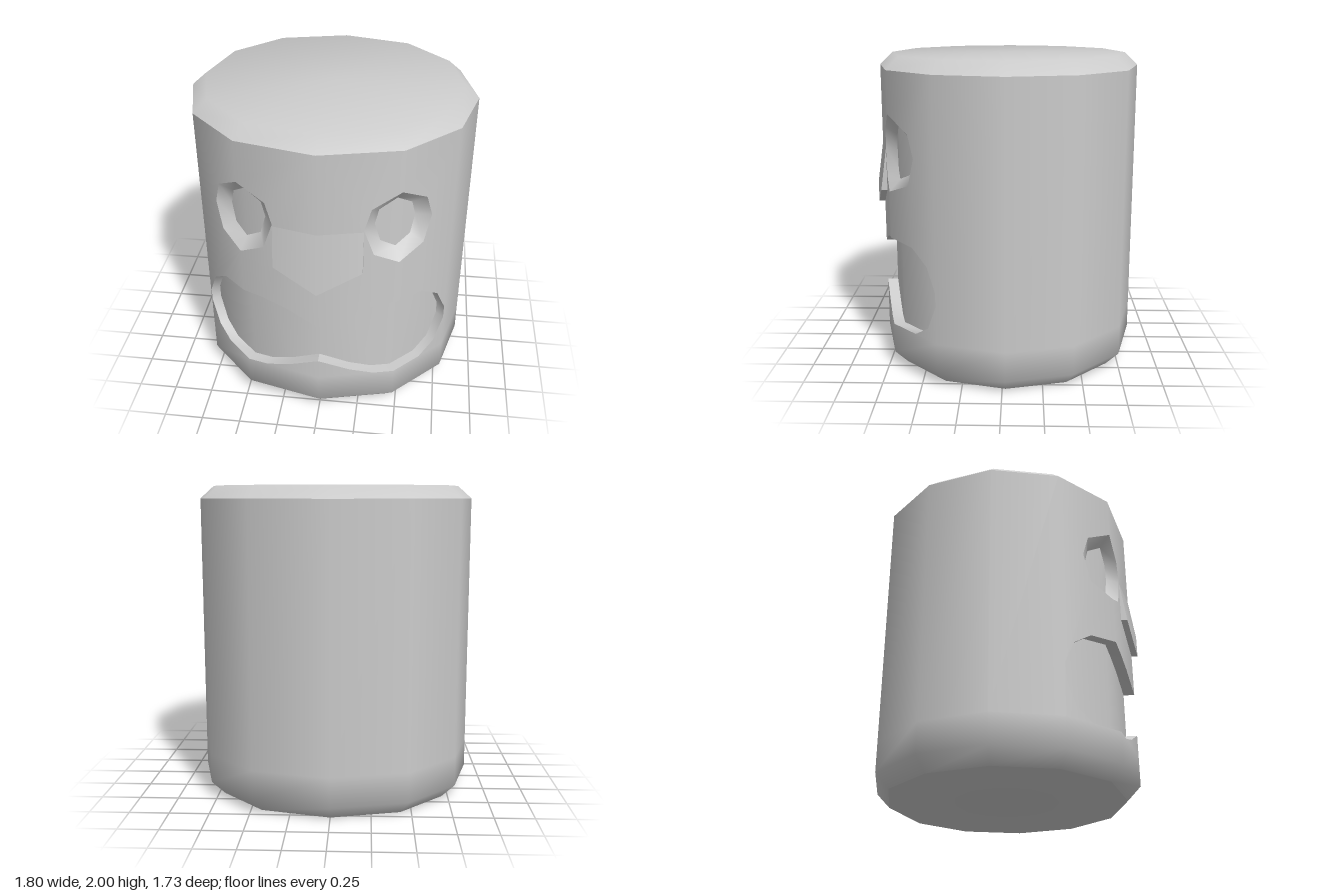
import * as THREE from 'three';
import { toCreasedNormals } from 'three/addons/utils/BufferGeometryUtils.js';

const CZ = -0.02; // centre of the twelve-sided body
const OUTER = [[0, 0.845], [0.48, 0.73], [0.79, 0.42], [0.9, 0]];
const INNER = [[0, 0.775], [0.45, 0.665], [0.745, 0.375], [0.84, 0]];

// depth of the faceted front at a given x
function depth(profile, x) {
  const a = Math.min(Math.abs(x), profile[3][0]);
  let i = 0;
  while (i < 2 && a > profile[i + 1][0]) i++;
  const [x0, z0] = profile[i], [x1, z1] = profile[i + 1];
  return CZ + z0 + (z1 - z0) * (a - x0) / (x1 - x0);
}

function radial(x, z, ny = 0) {
  return new THREE.Vector3(x / 0.81, 0, (z - CZ) / 0.714).normalize().setY(ny).normalize();
}

// full plan outline, running from the front towards +x
const back = OUTER.slice(0, 3).reverse().map(([x, z]) => [x, -z]);
const half = [...OUTER, ...back];
const PLAN = [...half, ...half.slice(1, -1).reverse().map(([x, z]) => [-x, z])];

const material = new THREE.MeshStandardMaterial({ color: 0xcccccc });

function geometry(positions, normals) {
  const g = new THREE.BufferGeometry();
  g.setAttribute('position', new THREE.Float32BufferAttribute(positions, 3));
  if (normals) g.setAttribute('normal', new THREE.Float32BufferAttribute(normals, 3));
  else g.computeVertexNormals();
  return g;
}

// band of quads between two rows [scale, y, normal slope]
function band(low, high, skipFront = false) {
  const pos = [], nor = [];
  const n = PLAN.length;
  for (let i = 0; i < n; i++) {
    if (skipFront && (i < 2 || i >= n - 2)) continue;
    const a = PLAN[i], b = PLAN[(i + 1) % n];
    for (const [p, r] of [[a, low], [b, low], [b, high], [a, low], [b, high], [a, high]]) {
      pos.push(p[0] * r[0], r[1], CZ + p[1] * r[0]);
      nor.push(...radial(p[0], CZ + p[1], r[2]).toArray());
    }
  }
  return geometry(pos, nor);
}

function cap(y, slope, up) {
  const pos = [], nor = [];
  PLAN.forEach((a, i) => {
    const b = PLAN[(i + 1) % PLAN.length];
    const rim = up ? [a, b] : [b, a];
    pos.push(0, y, CZ);
    nor.push(0, up ? 1 : -1, 0);
    for (const p of rim) {
      pos.push(p[0] * 0.9, y, CZ + p[1] * 0.9);
      nor.push(...radial(p[0], CZ + p[1], slope).toArray());
    }
  });
  return geometry(pos, nor);
}

// flat outline bent onto the faceted profile
function panel(points, profile, side) {
  const g = new THREE.ShapeGeometry(new THREE.Shape(points.map(([x, y]) => new THREE.Vector2(x * side, y))));
  const p = g.attributes.position, n = g.attributes.normal;
  for (let i = 0; i < p.count; i++) {
    const x = p.getX(i), z = depth(profile, x);
    p.setZ(i, z);
    n.setXYZ(i, ...radial(x, z).toArray());
  }
  return g;
}

// wall of a recess, from a counter-clockwise rim to the floor outline
function recessWall(rim, floor) {
  const pos = [];
  const out = ([x, y]) => [x, y, depth(OUTER, x)];
  const inn = ([x, y]) => [x, y, depth(INNER, x)];
  rim.forEach((p, i) => {
    const j = (i + 1) % rim.length;
    const a = out(p), b = out(rim[j]), c = inn(floor[j]), d = inn(floor[i]);
    pos.push(...a, ...b, ...c, ...a, ...c, ...d);
  });
  return toCreasedNormals(geometry(pos), 0.75);
}

const mirrored = (pts) => pts.map(([x, y]) => [-x, y]).reverse();

export function createModel() {
  const model = new THREE.Group();
  const add = (name, geo) => {
    const mesh = new THREE.Mesh(geo, material);
    mesh.name = name;
    model.add(mesh);
  };

  // body shell with chamfered ends
  add('bottomCap', cap(0, -2.5, false));
  add('bottomChamfer', band([0.9, 0, -1.2], [1, 0.09, -0.45]));
  add('lowerWall', band([1, 0.09, -0.45], [1, 0.28, 0]));
  add('backWall', band([1, 0.28, 0], [1, 1.92, 0], true));
  add('topChamfer', band([1, 1.92, 1.6], [0.9, 2, 3]));
  add('topCap', cap(2, 3, true));

  // half outlines, split at the corner x = 0.48
  const mouthLow = [[0, 0.425], [0.2, 0.33], [0.35, 0.285], [0.48, 0.285]];
  const mouthSide = [[0.48, 0.285], [0.64, 0.285], [0.73, 0.36], [0.785, 0.52], [0.785, 0.61],
    [0.73, 0.76], [0.63, 0.85], [0.48, 0.87]];
  const mouthTop = [[0.48, 0.87], [0.35, 0.845], [0.2, 0.8], [0, 0.71]];
  const eyeOuter = [[0.48, 1.17], [0.615, 1.235], [0.655, 1.41], [0.62, 1.55], [0.48, 1.655]];
  const eyeInner = [[0.48, 1.655], [0.31, 1.55], [0.27, 1.41], [0.33, 1.235], [0.48, 1.17]];
  const sinkMouth = ([x, y]) => [x * 0.9375, y];
  const sinkEye = ([x, y]) => [0.45 + (x - 0.48) * 0.6, 1.41 + (y - 1.41) * 0.69];

  for (const side of [1, -1]) {
    const word = side > 0 ? 'left' : 'right';
    // front wall around the openings
    add(word + 'Chin', panel([[0, 0.28], [0.48, 0.28], ...[...mouthLow].reverse()], OUTER, side));
    add(word + 'Face', panel([...[...mouthTop].reverse(), ...[...eyeInner].reverse(),
      [0.48, 1.92], [0, 1.92]], OUTER, side));
    add(word + 'Cheek', panel([[0.48, 0.28], [0.79, 0.28], [0.79, 1.92], [0.48, 1.92],
      ...[...eyeOuter].reverse(), ...[...mouthSide].reverse()], OUTER, side));
    // recess floors
    add(word + 'MouthFloor', panel([...mouthLow, ...mouthTop].map(sinkMouth), INNER, side));
    add(word + 'MouthCorner', panel(mouthSide.map(sinkMouth), INNER, side));
    add(word + 'EyeFloorInner', panel(eyeInner.map(sinkEye), INNER, side));
    add(word + 'EyeFloorOuter', panel(eyeOuter.map(sinkEye), INNER, side));
    // funnel-shaped eye socket
    const rim = [...eyeOuter, ...eyeInner.slice(1, -1)];
    const floor = rim.map(sinkEye);
    add(word + 'EyeSocket', side > 0 ? recessWall(rim, floor) : recessWall(mirrored(rim), mirrored(floor)));
  }

  // mouth rim
  const rightHalf = [...mouthLow, ...mouthSide.slice(1), ...mouthTop.slice(1)];
  const rim = [...rightHalf, ...mirrored(rightHalf.slice(1, -1))];
  add('mouthWall', recessWall(rim, rim.map(sinkMouth)));

  // wedge nose that fades into the wall at its top
  const tip = [0, 0.99, 0.865], ridge = [0, 1.13, 0.865], top = [0, 1.4, 0.826];
  const tipBase = [0, 0.99, 0.82];
  const front = [], sides = [];
  for (const s of [1, -1]) {
    const wing = [0.27 * s, 1.13, 0.8], wingTop = [0.27 * s, 1.4, 0.762], wingBase = [0.27 * s, 1.13, 0.755];
    const tri = (list, a, b, c) => list.push(...(s > 0 ? [a, b, c] : [a, c, b]).flat());
    tri(front, tip, wing, ridge);
    tri(front, ridge, wing, wingTop);
    tri(front, ridge, wingTop, top);
    tri(sides, tip, tipBase, wingBase);
    tri(sides, tip, wingBase, wing);
    tri(sides, wing, wingBase, wingTop);
  }
  const normals = [];
  for (let i = 0; i < front.length; i += 3) normals.push(...radial(front[i], front[i + 2], 0.08).toArray());
  add('noseFront', geometry(front, normals));
  add('noseSides', geometry(sides));
  return model;
}
